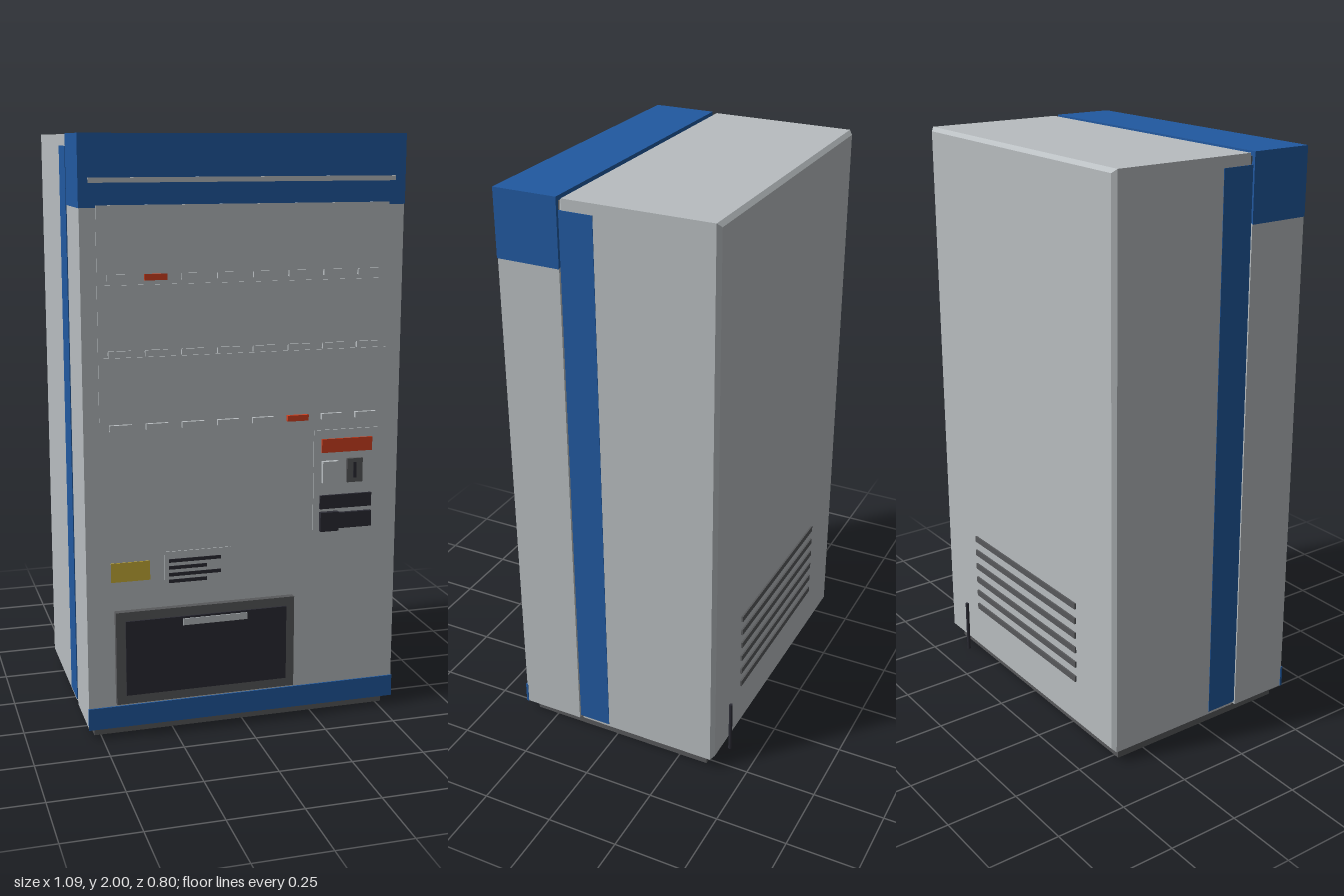
import * as THREE from 'three';

const mat = (name, color) => {
  const m = new THREE.MeshStandardMaterial({ color });
  m.name = name;
  return m;
};

export function createModel() {
  const silver = mat('silver', 0xb8bdc0);
  const blue = mat('blue', 0x2159a0);
  const grey = mat('dark grey', 0x58595b);
  const dark = mat('charcoal', 0x2b2b34);
  const red = mat('red', 0xd24020);
  const yellow = mat('yellow', 0xc9ae38);

  const model = new THREE.Group();
  model.name = 'vendingMachine';

  const add = (name, geometry, material) => {
    const mesh = new THREE.Mesh(geometry, material);
    mesh.name = name;
    model.add(mesh);
    return mesh;
  };
  // Box given by its limits on each axis
  const box = (name, material, x0, x1, y0, y1, z0, z1) => {
    const mesh = add(name, new THREE.BoxGeometry(x1 - x0, y1 - y0, z1 - z0), material);
    mesh.position.set((x0 + x1) / 2, (y0 + y1) / 2, (z0 + z1) / 2);
    return mesh;
  };
  const FACE = 0.365; // front of the door
  // Plate standing on the door face
  const plate = (name, material, x0, x1, y0, y1, z1) =>
    box(name, material, x0, x1, y0, y1, FACE - 0.002, z1);

  // Cabinet with chamfered edges
  const c = 0.013, w = 0.545 - c, y0 = 0.043 + c, y1 = 1.997 - c;
  const outline = new THREE.Shape([
    new THREE.Vector2(-w, y0), new THREE.Vector2(w, y0),
    new THREE.Vector2(w, y1), new THREE.Vector2(-w, y1),
  ]);
  const cabinet = new THREE.ExtrudeGeometry(outline, {
    depth: 0.532 - 2 * c, bevelEnabled: true, bevelThickness: c, bevelSize: c, bevelSegments: 1,
  });
  cabinet.translate(0, 0, -0.391 + c);
  add('cabinet', cabinet, silver);
  box('base', grey, -0.522, 0.522, 0, 0.046, -0.355, 0.332);
  box('doorSeal', grey, -0.533, 0.533, 0.05, 1.985, 0.135, 0.15);
  for (const s of [-1, 1]) {
    const stripe = box('sideStripe', blue, -0.0015, 0.0015, 0.052, 1.96, 0.022, 0.138);
    stripe.position.x = s * 0.545;
  }

  // Door, header and kick plate
  box('door', silver, -0.544, 0.544, 0.036, 1.775, 0.145, FACE);
  box('header', blue, -0.546, 0.546, 1.772, 2, 0.145, 0.367);
  box('headerTrim', silver, -0.515, 0.511, 1.849, 1.865, 0.364, 0.37);
  box('kickPlate', blue, -0.546, 0.546, 0.036, 0.112, 0.362, 0.37);

  // Display panels with a row of buttons below each
  const rows = [[1.56, 1.78, 1.554], [1.318, 1.53, 1.311], [1.09, 1.298, 1.07]];
  rows.forEach(([bottom, top, y], r) => {
    plate('displayPanel', silver, -0.492, 0.49, bottom, top, 0.3695);
    for (let i = 0; i < 8; i++) {
      const x = -0.423 + i * 0.1205;
      const lit = (r === 0 && i === 1) || (r === 2 && i === 5);
      plate('button', lit ? red : silver, x - 0.037, x + 0.037, y - 0.01, y + 0.01, 0.377);
    }
  });

  // Payment area
  plate('paymentPanel', silver, 0.24, 0.475, 0.66, 1.022, 0.369);
  plate('priceDisplay', red, 0.267, 0.448, 0.944, 0.991, 0.375);
  plate('coinReturnLever', silver, 0.268, 0.324, 0.84, 0.915, 0.385);
  plate('coinPlate', grey, 0.357, 0.413, 0.837, 0.92, 0.38);
  plate('coinSlot', dark, 0.379, 0.39, 0.853, 0.907, 0.382);
  plate('noteSlot', dark, 0.262, 0.448, 0.748, 0.795, 0.378);
  plate('cardReader', dark, 0.262, 0.328, 0.67, 0.737, 0.386);
  plate('coinTray', dark, 0.328, 0.448, 0.677, 0.732, 0.381);

  // Notice sticker and printed lines
  plate('sticker', yellow, -0.462, -0.33, 0.549, 0.615, 0.368);
  plate('noticePlate', silver, -0.28, -0.05, 0.525, 0.64, 0.368);
  [0.608, 0.584, 0.56, 0.537].forEach((y, i) =>
    plate('noticeLine', dark, -0.266, i % 2 ? -0.135 : -0.087, y - 0.006, y + 0.006, 0.37));

  // Dispensing hatch
  plate('hatchFrame', grey, -0.452, 0.17, 0.125, 0.449, 0.387);
  plate('hatchFlap', dark, -0.42, 0.14, 0.157, 0.418, 0.393);
  plate('hatchHandle', silver, -0.225, -0.001, 0.388, 0.411, 0.397);

  // Rear vents and cable
  for (let i = 0; i < 6; i++) {
    const y = 0.225 + i * 0.056;
    box('vent', grey, -0.328, 0.326, y - 0.011, y + 0.011, -0.397, -0.389);
  }
  const cable = add('cable', new THREE.CylinderGeometry(0.0065, 0.0065, 0.197, 10), dark);
  cable.position.set(0.413, 0.0985, -0.396);

  return model;
}
